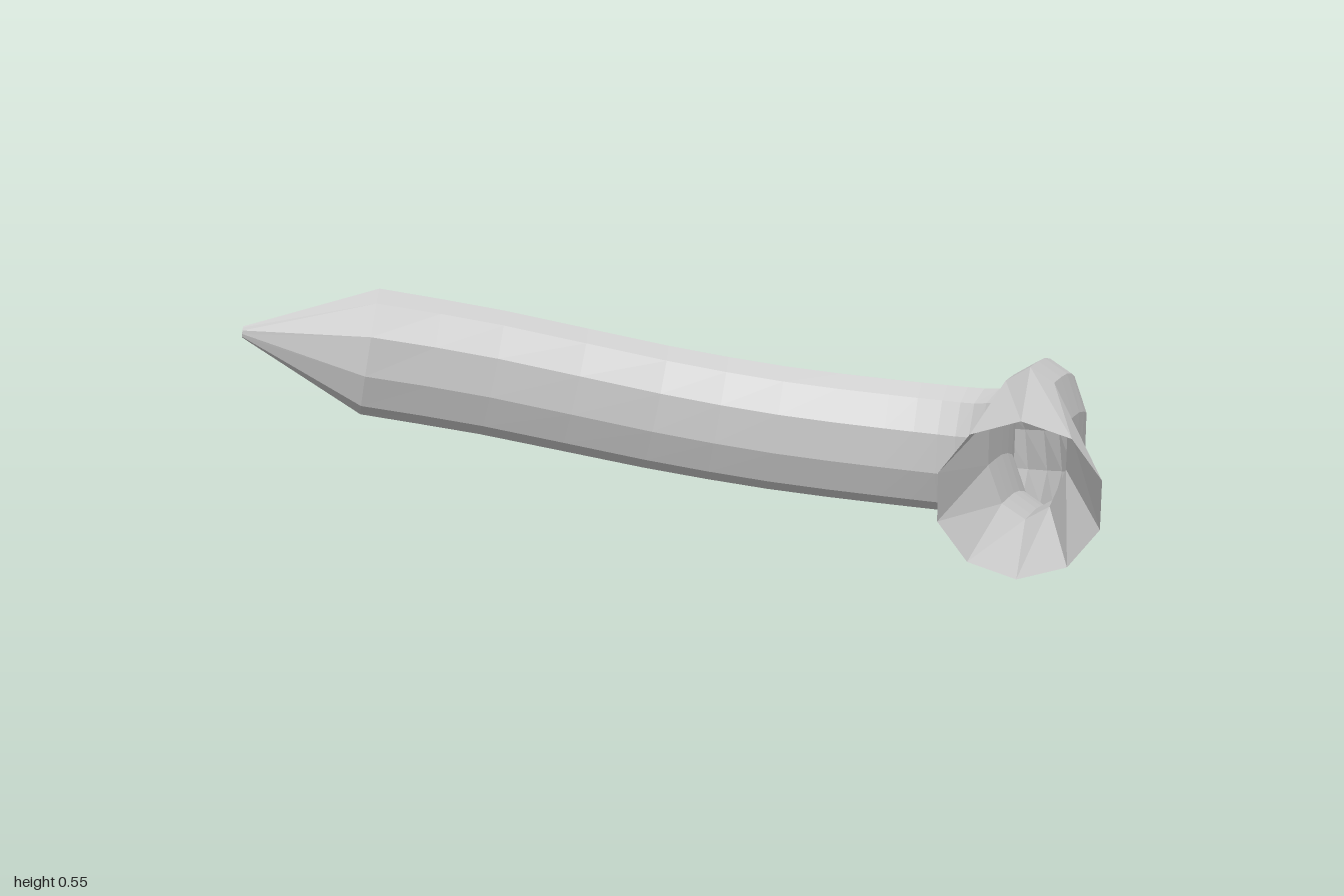
import * as THREE from 'three';

const SIDES = 10;

// Sweep ten-sided upright ellipses along a list of ring centres.
function sweep(centres, sizes) {
  const pos = [], index = [];
  const up = new THREE.Vector3(0, 1, 0);
  centres.forEach((c, i) => {
    const a = centres[Math.max(i - 1, 0)], b = centres[Math.min(i + 1, centres.length - 1)];
    const dirIn = c.clone().sub(a).normalize(), dirOut = b.clone().sub(c).normalize();
    const tangent = dirIn.add(dirOut).normalize();
    const side = tangent.clone().cross(up).normalize();
    const top = side.clone().cross(tangent);
    const [w, h] = sizes[i];
    for (let k = 0; k < SIDES; k++) {
      const t = (k / SIDES) * Math.PI * 2;
      const p = c.clone().addScaledVector(side, w * Math.sin(t)).addScaledVector(top, h * Math.cos(t));
      pos.push(p.x, p.y, p.z);
    }
  });
  for (let i = 0; i < centres.length - 1; i++) {
    for (let k = 0; k < SIDES; k++) {
      const a = i * SIDES + k, b = i * SIDES + ((k + 1) % SIDES);
      index.push(a, b, a + SIDES, b, b + SIDES, a + SIDES);
    }
  }
  // Close the small tip; the flared end stays open.
  for (let k = 1; k < SIDES - 1; k++) index.push(0, k + 1, k);
  const geo = new THREE.BufferGeometry();
  geo.setAttribute('position', new THREE.Float32BufferAttribute(pos, 3));
  geo.setIndex(index);
  geo.computeVertexNormals();
  return geo;
}

export function createModel() {
  const group = new THREE.Group();
  group.name = 'hookedBar';

  // Centre line: long arm, tight bend, short arm up to the neck.
  const path = new THREE.CatmullRomCurve3([
    [-0.69, 0.395, -0.507], [-0.4, 0.335, -0.573], [0, 0.243, -0.63], [0.3, 0.192, -0.638],
    [0.57, 0.165, -0.618], [0.71, 0.157, -0.59], [0.81, 0.157, -0.543], [0.88, 0.173, -0.46],
    [0.916, 0.2, -0.36], [0.915, 0.255, -0.2], [0.89, 0.315, 0], [0.846, 0.356, 0.2], [0.8, 0.37, 0.375],
  ].map((p) => new THREE.Vector3(...p)));

  const body = path.getPoints(24);
  const centres = [new THREE.Vector3(-1, 0.442, -0.5), ...body, new THREE.Vector3(0.75, 0.325, 0.688)];
  const sizes = [[0.006, 0.014], ...body.map(() => [0.081, 0.157]), [0.158, 0.158]];

  const material = new THREE.MeshStandardMaterial({
    color: 0xcccccc, flatShading: true, side: THREE.DoubleSide,
  });
  const bar = new THREE.Mesh(sweep(centres, sizes), material);
  bar.name = 'bentBarWithPointAndSocket';
  group.add(bar);
  return group;
}
